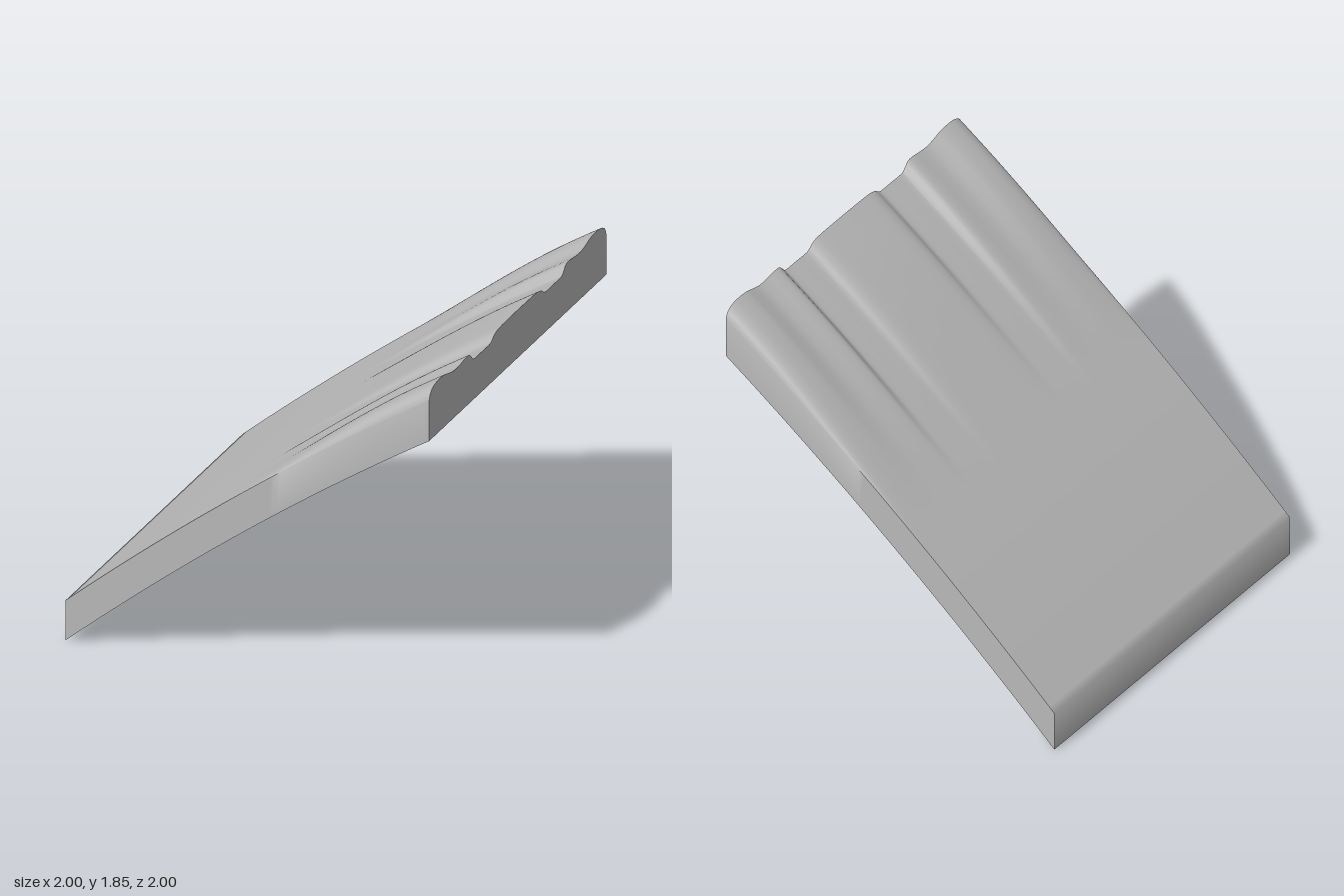
import * as THREE from 'three';
import { toCreasedNormals } from 'three/addons/utils/BufferGeometryUtils.js';

// Half of the ridge profile at the high end: [z, height above the flat slab]
const HALF = [
  [1, 0], [0.99, 0.029], [0.975, 0.047], [0.95, 0.061], [0.92, 0.068], [0.87, 0.07], [0.82, 0.066],
  [0.77, 0.052], [0.73, 0.042], [0.7, 0.039], [0.65, 0.042], [0.6, 0.049], [0.56, 0.05], [0.54, 0.044],
  [0.52, 0.023], [0.5, 0.004], [0.485, 0], [0.4, 0], [0.315, 0], [0.3, 0.004], [0.27, 0.026],
  [0.24, 0.037], [0.2, 0.042], [0.1, 0.044], [0, 0.045],
];

// Smooth, mirrored list of cross-section points running from z = 1 to z = -1
function ridgeProfile() {
  const curve = new THREE.CatmullRomCurve3(HALF.map(([z, h]) => new THREE.Vector3(z, h, 0)));
  const half = curve.getPoints((HALF.length - 1) * 3);
  const other = half.slice(0, -1).reverse().map((p) => new THREE.Vector3(-p.x, p.y, 0));
  return half.concat(other);
}

const underside = (x) => 0.84 + 0.78 * x - 0.06 * x * x;
const THICKNESS = 0.222;

export function createModel() {
  const group = new THREE.Group();
  group.name = 'ridgedSlab';
  const grey = new THREE.MeshStandardMaterial({ color: 0xb8b8b8 });
  grey.name = 'plain grey';

  // Sloping slab: a divided box bent upward, with ridges that grow towards the high end
  const profile = ridgeProfile();
  const last = profile.length - 1;
  const box = new THREE.BoxGeometry(2, 1, 2, 64, 1, last);
  const pos = box.attributes.position;
  for (let i = 0; i < pos.count; i++) {
    const x = pos.getX(i);
    const p = profile[Math.round((1 - pos.getZ(i)) / 2 * last)];
    const grow = THREE.MathUtils.smoothstep(x, -0.2, 0.88);
    const top = pos.getY(i) > 0 ? THICKNESS + p.y * grow : 0;
    pos.setXYZ(i, x, underside(x) + top, p.x);
  }

  const slab = new THREE.Mesh(toCreasedNormals(box, THREE.MathUtils.degToRad(55)), grey);
  slab.name = 'slab';
  group.add(slab);
  return group;
}
